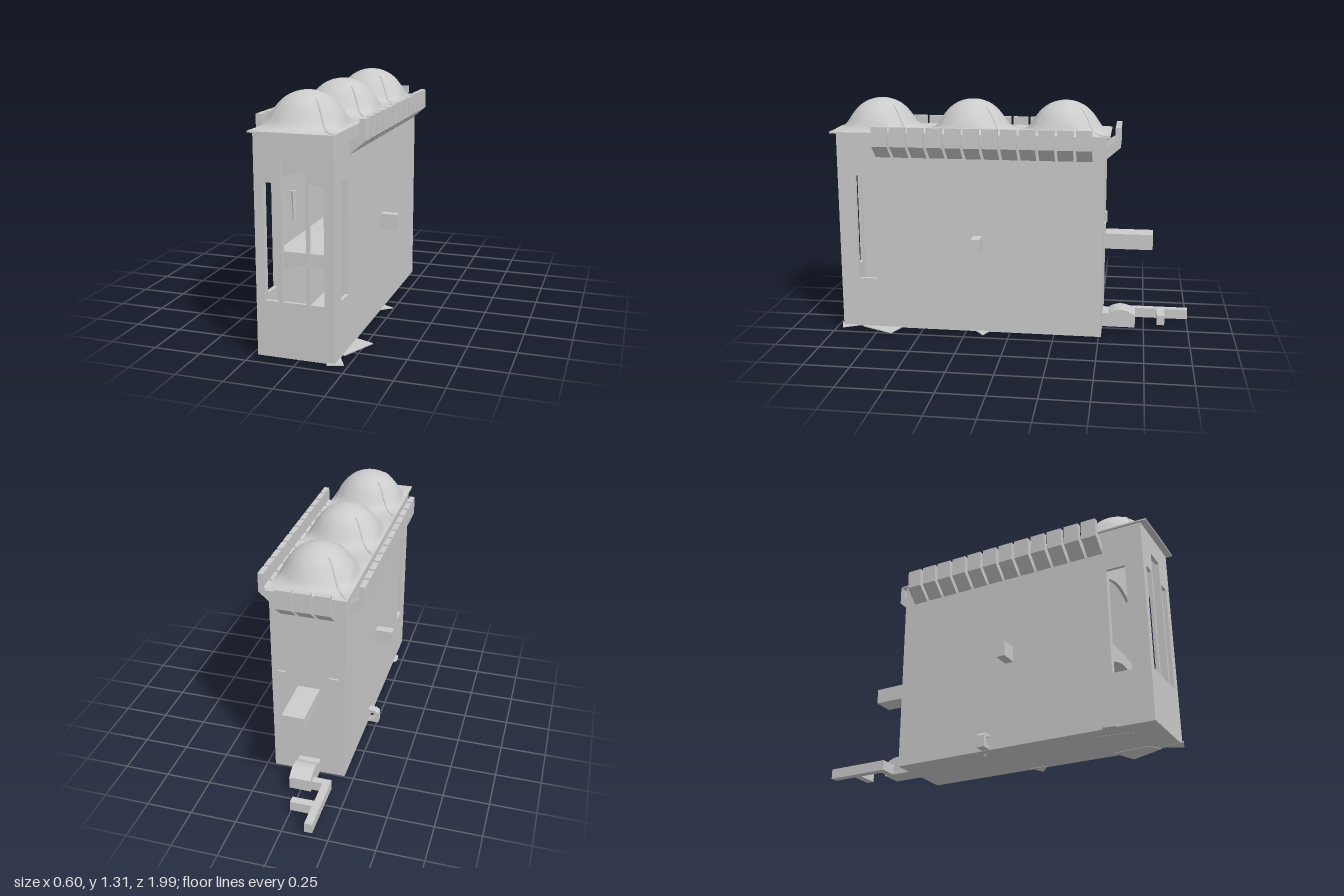
import * as THREE from 'three';

const CX = -0.004; // middle of the tower across x
const grey = new THREE.MeshStandardMaterial({ color: 0xcccccc, flatShading: true });
const smooth = new THREE.MeshStandardMaterial({ color: 0xcccccc, side: THREE.DoubleSide });
const V = (x, y, z) => new THREE.Vector3(x, y, z);
const vec2 = (pts) => pts.map(([a, b]) => new THREE.Vector2(a, b));

function add(parent, name, geo, mat = grey) {
  const mesh = new THREE.Mesh(geo, mat);
  mesh.name = name;
  parent.add(mesh);
  return mesh;
}

// Box given by its limits
function box(parent, name, x0, x1, y0, y1, z0, z1) {
  const geo = new THREE.BoxGeometry(x1 - x0, y1 - y0, z1 - z0);
  geo.translate((x0 + x1) / 2, (y0 + y1) / 2, (z0 + z1) / 2);
  return add(parent, name, geo);
}

const rect = (a, b, c, d) => vec2([[a, c], [b, c], [b, d], [a, d]]);

// Wall with holes, extruded towards +z from z = 0
function wallGeo(outline, holes, depth) {
  const shape = new THREE.Shape(outline);
  holes.forEach((h) => shape.holes.push(new THREE.Path(h)));
  return new THREE.ExtrudeGeometry(shape, { depth, bevelEnabled: false });
}

// Opening with a shallow curved head
function archOpening(x0, x1, y0, spring, rise) {
  const pts = [[x0, y0], [x1, y0]];
  for (let i = 0; i <= 12; i++) {
    const t = i / 12;
    pts.push([x1 + (x0 - x1) * t, spring + rise * Math.sin(Math.PI * t)]);
  }
  return vec2(pts);
}

// Roof height: three bell-shaped domes on a flat sheet
const domeZ = [0.745, 0.225, -0.29];
const bell = [[0, 0.17], [0.05, 0.164], [0.1, 0.143], [0.14, 0.111], [0.17, 0.073],
  [0.19, 0.043], [0.205, 0.024], [0.23, 0.009], [0.27, 0.001], [0.32, 0]];
function roofHeight(x, z) {
  const r = Math.min(...domeZ.map((d) => Math.hypot(x - CX, z - d)));
  let i = 0;
  while (i < bell.length - 2 && bell[i + 1][0] < r) i++;
  const at = (k) => bell[Math.max(0, Math.min(bell.length - 1, k))];
  const t = Math.min(1, (r - bell[i][0]) / (bell[i + 1][0] - bell[i][0]));
  const slope = (k) => (k <= 0 ? 0 : (at(k + 1)[1] - at(k - 1)[1]) / (at(k + 1)[0] - at(k - 1)[0]));
  const w = bell[i + 1][0] - bell[i][0], u = 1 - t;
  const h = bell[i][1] * (1 + 2 * t) * u * u + bell[i + 1][1] * t * t * (3 - 2 * t)
    + w * (slope(i) * t * u * u - slope(i + 1) * t * t * u);
  // flatten towards the eaves
  const edge = Math.min(1, Math.max(0, (0.212 - Math.abs(x - CX)) / 0.03));
  return 1.136 + Math.max(0, h) * edge;
}

export function createModel() {
  const model = new THREE.Group();
  model.name = 'tower';
  const L = -0.203, R = 0.197, B = -0.515, F = 0.955, Y0 = 0.025, Y1 = 1.13, T = 0.018;

  // Hollow tower walls with slot windows
  const walls = new THREE.Group();
  walls.name = 'walls';
  model.add(walls);
  const front = wallGeo(rect(L, R, Y0, Y1), [
    rect(-0.157, -0.085, 0.305, 0.89), rect(-0.066, 0.056, 0.305, 1.01), rect(0.073, 0.146, 0.305, 0.89),
  ], T);
  front.translate(0, 0, F - T);
  add(walls, 'frontWall', front);
  for (const outer of [L + T, R]) {
    const side = wallGeo(rect(B, F - T, Y0, Y1), [rect(0.75, 0.855, 0.305, 0.895)], T);
    side.rotateY(-Math.PI / 2);
    side.translate(outer, 0, 0);
    add(walls, 'sideWall', side);
  }
  box(walls, 'backWall', L + T, R - T, Y0, Y1, B, B + T);
  box(walls, 'floor', L, R, 0.018, Y0 + 0.008, B, F);
  box(walls, 'ceiling', L + T, R - T, Y1 - 0.02, Y1, B + T, F - T);

  // Inner vaulted partition, middle floor and fittings
  const inside = new THREE.Group();
  inside.name = 'interior';
  model.add(inside);
  const partition = wallGeo(rect(L + T, R - T, Y0, Y1 - 0.02), [
    archOpening(-0.15, 0.142, 0.06, 0.39, 0.035), archOpening(-0.15, 0.142, 0.49, 0.87, 0.035),
  ], T);
  partition.translate(0, 0, 0.725);
  add(inside, 'partition', partition);
  box(inside, 'middleFloor', L + T, R - T, 0.468, 0.488, B + T, 0.725);
  const rod = new THREE.CylinderGeometry(0.004, 0.004, 0.42, 6);
  rod.translate(CX, 0.9, 0.4);
  add(inside, 'chandelierRod', rod);
  for (const [r, y] of [[0.036, 0.7], [0.022, 0.73]]) {
    const ring = new THREE.TorusGeometry(r, 0.004, 6, 16);
    ring.rotateX(Math.PI / 2);
    ring.translate(CX, y, 0.4);
    add(inside, 'chandelierRing', ring);
  }
  for (const s of [-1, 1]) {
    const torch = new THREE.CylinderGeometry(0.016, 0.008, 0.16, 8);
    torch.translate(CX + s * 0.14, 0.69, 0.6);
    add(inside, 'wallTorch', torch);
  }

  // Domed roof sheet with its eaves
  const roof = new THREE.PlaneGeometry(0.424, 1.53, 48, 150);
  roof.rotateX(-Math.PI / 2);
  roof.translate(CX, 0, 0.225);
  const p = roof.attributes.position;
  for (let i = 0; i < p.count; i++) p.setY(i, roofHeight(p.getX(i), p.getZ(i)));
  roof.computeVertexNormals();
  add(model, 'domedRoof', roof, smooth);
  box(model, 'eaves', CX - 0.212, CX + 0.212, 1.128, 1.135, -0.54, 0.99);

  // Ribs running from the corners up each dome
  for (const z of domeZ) {
    for (const sx of [-1, 1]) for (const sz of [-1, 1]) {
      const pts = [];
      for (let i = 0; i <= 12; i++) {
        const t = 1 - (i / 12) * 0.65;
        const x = CX + sx * 0.205 * t, zz = z + sz * 0.235 * t;
        pts.push(V(x, roofHeight(x, zz), zz));
      }
      add(model, 'domeRib', new THREE.TubeGeometry(new THREE.CatmullRomCurve3(pts), 24, 0.004, 5), smooth);
    }
  }

  // Overhanging battlements: a sloping bracket below an upright block
  const profile = vec2([[0, 0.998], [0.083, 1.07], [0.083, 1.176], [0.053, 1.176], [0.053, 1.1], [0, 1.067]]);
  const merlonGeo = wallGeo(profile, [], 0.084);
  merlonGeo.translate(0, 0, -0.042);
  const merlon = (x, z, turn) => {
    const m = add(model, 'merlon', merlonGeo);
    m.position.set(x, 0, z);
    m.rotation.y = turn;
  };
  for (let i = 0; i < 12; i++) {
    const z = 0.692 - i * 0.1;
    merlon(R - 0.002, z, 0);
    merlon(L + 0.002, z, Math.PI);
  }
  for (const x of [-0.105, -0.005, 0.095]) merlon(x, B + 0.002, Math.PI / 2);

  // Projecting blocks on the sides and back
  box(model, 'leftBlock', R - 0.01, 0.288, 0.488, 0.574, 0.147, 0.196);
  box(model, 'rightBlock', -0.3, L + 0.01, 0.488, 0.574, 0.147, 0.196);
  box(model, 'backBeam', -0.066, 0.054, 0.488, 0.574, -0.785, B);
  box(model, 'backStud', -0.168, -0.118, 0.595, 0.655, -0.526, B);
  box(model, 'backStud', 0.118, 0.162, 0.595, 0.655, -0.526, B);

  // Humped step at the foot of the back wall
  const step = new THREE.Shape();
  step.moveTo(B, 0.03);
  step.lineTo(B, 0.108);
  step.lineTo(-0.55, 0.108);
  step.bezierCurveTo(-0.59, 0.14, -0.65, 0.14, -0.7, 0.1);
  step.lineTo(-0.7, 0.03);
  const stepGeo = new THREE.ExtrudeGeometry(step, { depth: 0.12, bevelEnabled: false, curveSegments: 10 });
  stepGeo.rotateY(-Math.PI / 2);
  stepGeo.translate(0.054, 0, 0);
  add(model, 'backStep', stepGeo);

  // Low rail leading away from the step
  box(model, 'railBar', -0.167, -0.125, 0.03, 0.086, -1, -0.643);
  box(model, 'railArm', -0.126, -0.005, 0.03, 0.086, -0.867, -0.824);
  box(model, 'railLink', -0.126, -0.065, 0.03, 0.086, -0.683, -0.643);

  // Flat broken slabs around the foot, as [x, z] corners
  const slabs = [
    [[0.15, 0.6], [0.295, 0.655], [0.205, 0.84], [0.13, 0.8]],
    [[0.17, 0.82], [0.24, 0.95], [0.16, 0.975]],
    [[-0.16, 0.64], [-0.225, 0.7], [-0.22, 0.76], [-0.15, 0.78]],
    [[0.17, 0.1], [0.255, 0.14], [0.18, 0.2]],
    [[-0.12, 0.62], [0.1, 0.6], [0.14, 0.76], [-0.1, 0.8]],
  ];
  slabs.forEach((pts, i) => {
    const geo = wallGeo(vec2(pts), [], 0.006);
    geo.rotateX(Math.PI / 2);
    geo.translate(0, 0.022 + (i % 3) * 0.001, 0);
    add(model, 'brokenSlab', geo);
  });

  // Curled root against the right wall and a small peg beneath
  const curl = wallGeo(vec2([[-0.19, 0.02], [-0.265, 0.02], [-0.265, 0.085], [-0.245, 0.1], [-0.19, 0.105],
    [-0.19, 0.09], [-0.235, 0.082], [-0.245, 0.05]]), [], 0.045);
  curl.translate(0, 0, 0.01);
  add(model, 'curledRoot', curl);
  const peg = new THREE.ConeGeometry(0.01, 0.025, 5);
  peg.rotateX(Math.PI);
  peg.translate(-0.155, 0.0125, 0);
  add(model, 'peg', peg);

  return model;
}
